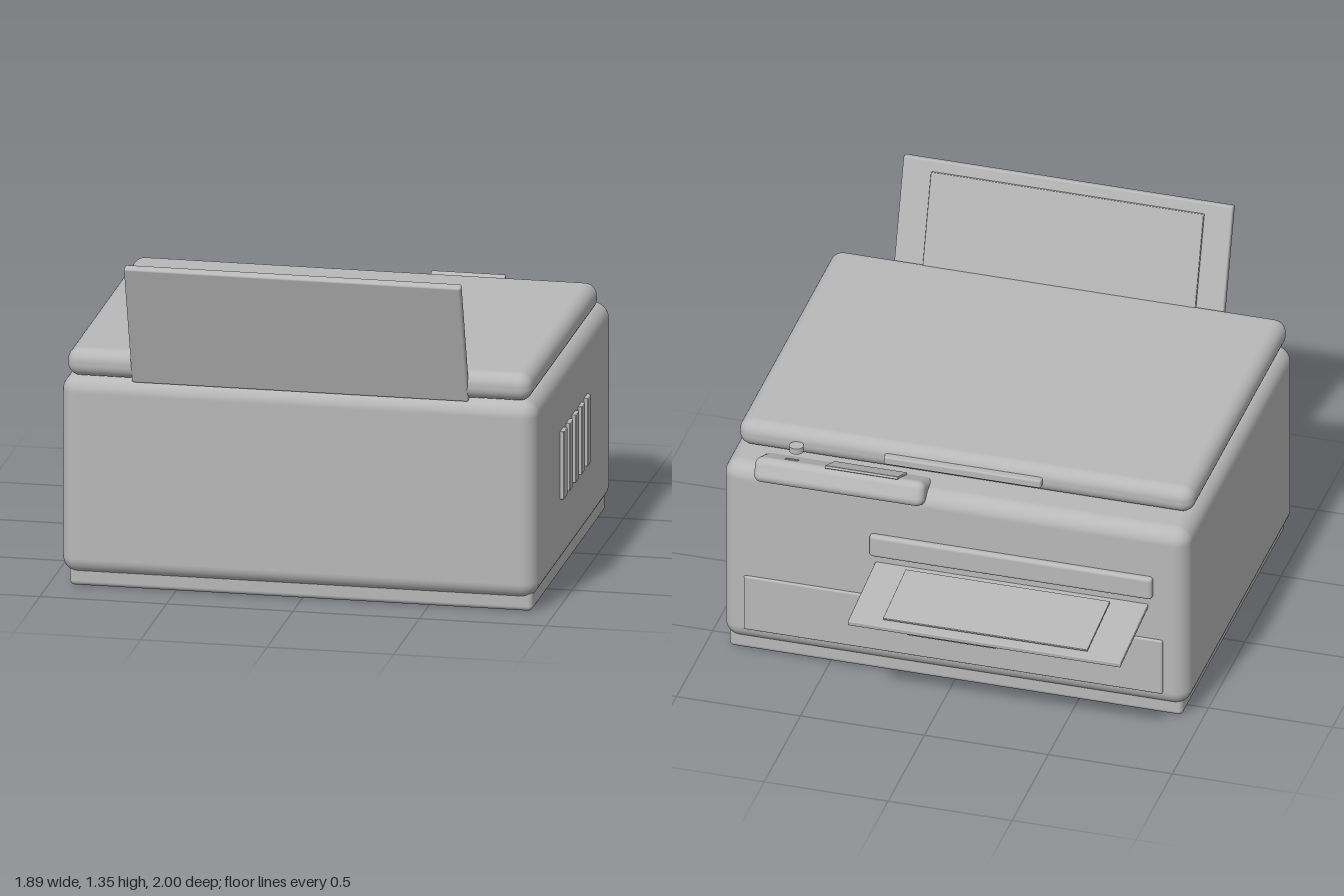
import * as THREE from 'three';
import { RoundedBoxGeometry } from 'three/addons/geometries/RoundedBoxGeometry.js';

export function createModel() {
  const model = new THREE.Group();
  model.name = 'printer';
  const grey = new THREE.MeshStandardMaterial({ color: 0xb8b8b8 });
  grey.name = 'grey plastic';

  // Rounded box given by its size and centre
  function box(name, parent, size, pos, radius = 0.003) {
    const r = Math.min(radius, Math.min(...size) * 0.49);
    const mesh = new THREE.Mesh(new RoundedBoxGeometry(...size, radius > 0.01 ? 5 : 2, r), grey);
    mesh.name = name;
    mesh.position.set(...pos);
    parent.add(mesh);
    return mesh;
  }

  // Group tilted about the x axis
  function tilted(name, pos, angle) {
    const group = new THREE.Group();
    group.name = name;
    group.position.set(...pos);
    group.rotation.x = angle;
    model.add(group);
    return group;
  }

  // Housing
  box('base', model, [1.83, 0.1, 1.415], [-0.005, 0.05, 0.118], 0.02);
  box('body', model, [1.88, 0.8, 1.47], [-0.01, 0.45, 0.118], 0.065);
  box('scannerLid', model, [1.835, 0.112, 1.335], [-0.01, 0.904, 0.185], 0.05);
  box('lidHandle', model, [0.635, 0.035, 0.06], [-0.008, 0.905, -0.48], 0.008);

  // Paper drawer and output slot
  box('paperDrawer', model, [1.69, 0.243, 0.04], [-0.005, 0.232, -0.607], 0.008);
  box('drawerHandle', model, [0.37, 0.045, 0.04], [-0.005, 0.233, -0.628], 0.012);
  box('outputSlot', model, [1.14, 0.096, 0.06], [-0.24, 0.588, -0.61], 0.014);

  // Output tray with a sheet
  const tray = tilted('outputTray', [-0.24, 0.48, -0.78], -0.11);
  box('trayPlate', tray, [1.1, 0.02, 0.44], [0, 0, 0], 0.004);
  box('printedSheet', tray, [0.825, 0.008, 0.315], [0.003, 0.025, -0.033], 0.002);

  // Paper support with a stack of paper
  const support = tilted('paperSupport', [-0.005, 1.093, 0.9], 0.31);
  box('supportPlate', support, [1.33, 0.53, 0.036], [0, 0, 0], 0.008);
  box('paperStack', support, [1.1, 0.44, 0.02], [-0.005, 0, -0.028], 0.004);

  // Control panel, raised at its outer edge
  const panel = tilted('controlPanel', [0.4525, 0.823, -0.554], 0.42);
  box('panelHousing', panel, [0.685, 0.1, 0.2], [0, 0, 0], 0.03);
  box('screen', panel, [0.295, 0.012, 0.14], [-0.09, 0.052, -0.036], 0.003);
  box('panelButton', panel, [0.05, 0.006, 0.03], [0.207, 0.05, -0.045], 0.002);

  const knob = new THREE.Mesh(new THREE.CylinderGeometry(0.028, 0.028, 0.025, 24), grey);
  knob.name = 'knob';
  knob.position.set(0.66, 0.9, -0.508);
  model.add(knob);

  // Side vents
  for (let i = 0; i < 5; i++) {
    box('vent', model, [0.03, 0.275, 0.066], [0.93, 0.465, 0.349 - i * 0.1155]);
  }
  return model;
}
